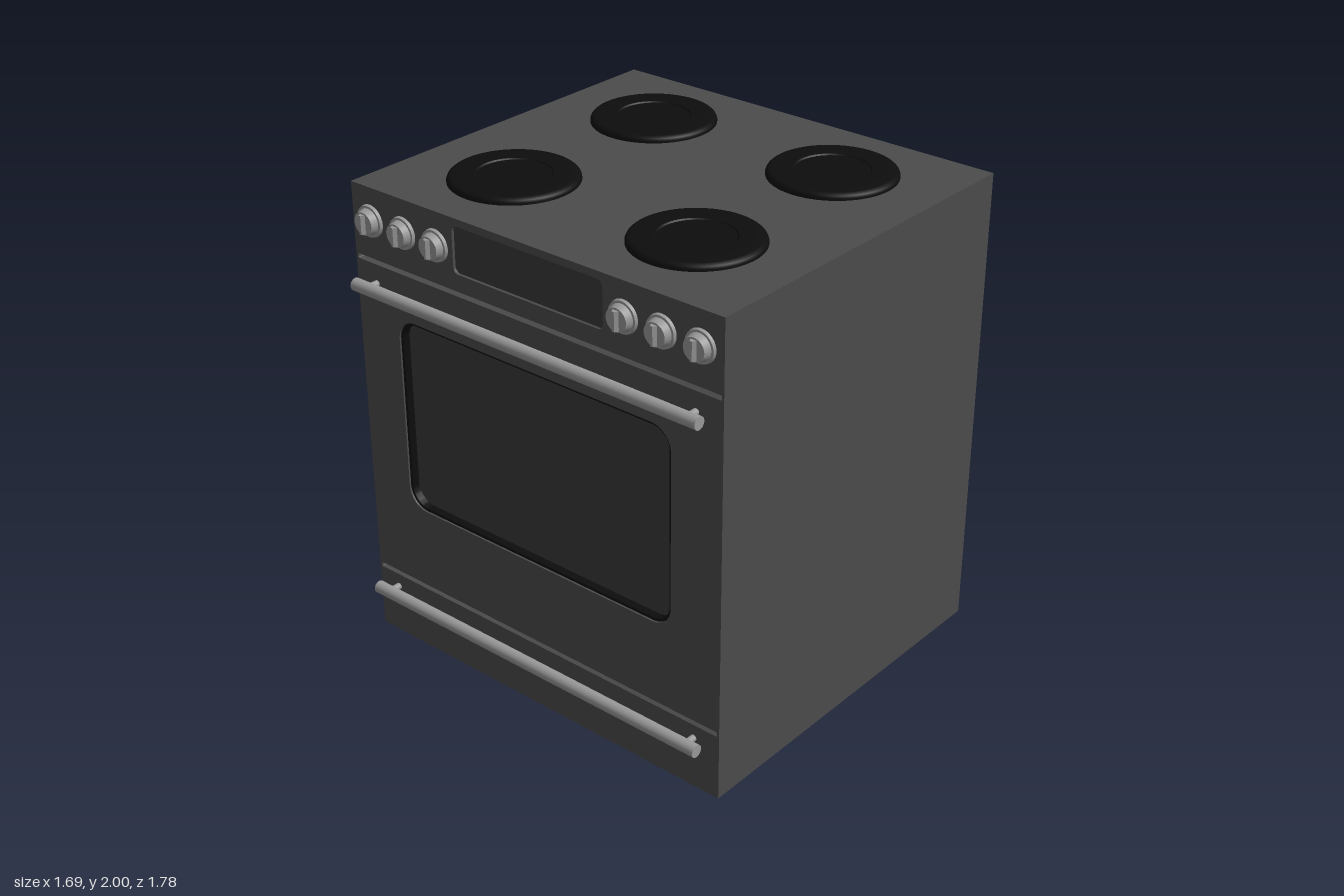
import * as THREE from 'three';
import { toCreasedNormals } from 'three/addons/utils/BufferGeometryUtils.js';

const mat = (color) => new THREE.MeshStandardMaterial({ color });
const enamel = mat(0x4b4b4b), glass = mat(0x3a3a3a), black = mat(0x0d0d0d), metal = mat(0x999999);

// Door side faces -x. Panel outlines are drawn with u = z and v = y.
const FACE = -0.765, BACK = 0.84, INNER = -0.72;

function part(parent, name, geometry, material, x = 0, y = 0, z = 0) {
  const mesh = new THREE.Mesh(geometry, material);
  mesh.name = name;
  mesh.position.set(x, y, z);
  parent.add(mesh);
  return mesh;
}

// Rounded rectangle traced into a Shape or Path
function roundRect(target, u0, v0, u1, v1, r) {
  target.moveTo(u0 + r, v0);
  target.lineTo(u1 - r, v0);
  target.absarc(u1 - r, v0 + r, r, -Math.PI / 2, 0);
  target.lineTo(u1, v1 - r);
  target.absarc(u1 - r, v1 - r, r, 0, Math.PI / 2);
  target.lineTo(u0 + r, v1);
  target.absarc(u0 + r, v1 - r, r, Math.PI / 2, Math.PI);
  target.lineTo(u0, v0 + r);
  target.absarc(u0 + r, v0 + r, r, Math.PI, Math.PI * 1.5);
  return target;
}

// Extrude an outline towards -x
function plate(shape, depth) {
  const g = new THREE.ExtrudeGeometry(shape, { depth, bevelEnabled: false, curveSegments: 8 });
  g.rotateY(-Math.PI / 2);
  return toCreasedNormals(g, 0.6);
}

// Cylinder lying along -x, with its base on x = 0
function disc(rBase, rTip, length, segments = 32) {
  const g = new THREE.CylinderGeometry(rTip, rBase, length, segments);
  g.translate(0, length / 2, 0);
  return g.rotateZ(Math.PI / 2);
}

function createKnob() {
  const knob = new THREE.Group();
  knob.name = 'knob';
  part(knob, 'knobBase', disc(0.065, 0.062, 0.012), metal);
  part(knob, 'knobBody', disc(0.053, 0.046, 0.028), metal, -0.012);
  // Grip: a ridge that narrows towards its outer edge
  const ridge = new THREE.Shape([
    new THREE.Vector2(-0.014, 0), new THREE.Vector2(0.014, 0),
    new THREE.Vector2(0.005, 0.016), new THREE.Vector2(-0.005, 0.016),
  ]);
  const grip = new THREE.ExtrudeGeometry(ridge, { depth: 0.076, bevelEnabled: false });
  grip.translate(0, 0, -0.038).rotateX(Math.PI / 2).rotateZ(Math.PI / 2);
  // Align the ridge so it points to -x and runs along y
  grip.computeBoundingBox();
  const g = new THREE.ExtrudeGeometry(ridge, { depth: 0.076, bevelEnabled: false });
  g.translate(0, 0, -0.038);
  g.applyMatrix4(new THREE.Matrix4().makeBasis(
    new THREE.Vector3(0, 0, 1), new THREE.Vector3(-1, 0, 0), new THREE.Vector3(0, -1, 0)));
  part(knob, 'knobGrip', g, metal, -0.039);
  return knob;
}

function createHandle() {
  const handle = new THREE.Group();
  handle.name = 'handle';
  const bar = new THREE.CylinderGeometry(0.026, 0.026, 1.68, 24).rotateX(Math.PI / 2);
  part(handle, 'handleBar', bar, metal, -0.055, 0, -0.01);
  for (const z of [-0.79, 0.77]) part(handle, 'handlePost', disc(0.014, 0.014, 0.05, 16), metal, 0, 0, z);
  return handle;
}

function createBurner() {
  const profile = [
    [0.253, 0], [0.253, 0.008], [0.249, 0.017], [0.242, 0.023], [0.232, 0.025],
    [0.148, 0.025], [0.143, 0.02], [0, 0.02],
  ].map(([r, y]) => new THREE.Vector2(r, y));
  return toCreasedNormals(new THREE.LatheGeometry(profile, 64), 0.6);
}

export function createModel() {
  const model = new THREE.Group();
  model.name = 'stove';

  // Cabinet
  part(model, 'cabinet', new THREE.BoxGeometry(BACK - INNER, 1.975, 1.785), enamel,
    (BACK + INNER) / 2, 0.9875, -0.0025);

  // Door side with openings for the window, display and two seams
  const front = new THREE.Shape([
    new THREE.Vector2(-0.895, 0), new THREE.Vector2(0.89, 0),
    new THREE.Vector2(0.89, 1.975), new THREE.Vector2(-0.895, 1.975),
  ]);
  const windowBox = [-0.685, 0.65, 0.66, 1.475];
  const displayBox = [-0.37, 1.755, 0.355, 1.945];
  front.holes.push(
    roundRect(new THREE.Path(), ...windowBox, 0.09),
    roundRect(new THREE.Path(), ...displayBox, 0.025),
    roundRect(new THREE.Path(), -0.885, 1.665, 0.88, 1.685, 0.005),
    roundRect(new THREE.Path(), -0.885, 0.278, 0.88, 0.298, 0.005));
  part(model, 'frontPanel', plate(front, INNER - FACE), enamel, INNER);

  // Window: black liner inside the opening and a recessed pane
  const [u0, v0, u1, v1] = windowBox;
  const liner = roundRect(new THREE.Shape(), u0, v0, u1, v1, 0.09);
  liner.holes.push(roundRect(new THREE.Path(), u0 + 0.012, v0 + 0.012, u1 - 0.012, v1 - 0.012, 0.078));
  part(model, 'windowLiner', plate(liner, 0.037), black, INNER);
  part(model, 'windowPane', plate(roundRect(new THREE.Shape(), u0, v0, u1, v1, 0.09), 0.005), glass, INNER);

  // Display
  part(model, 'display', plate(roundRect(new THREE.Shape(), ...displayBox, 0.025), 0.033), glass, INNER);

  // Knobs
  for (const z of [-0.8, -0.628, -0.458, 0.45, 0.62, 0.79]) {
    const knob = createKnob();
    knob.position.set(FACE, 1.84, z);
    model.add(knob);
  }

  // Door and drawer handles
  for (const y of [1.585, 0.22]) {
    const handle = createHandle();
    handle.position.set(FACE, y, 0);
    model.add(handle);
  }

  // Hot plates
  const burner = createBurner();
  for (const x of [-0.36, 0.44])
    for (const z of [-0.443, 0.437]) part(model, 'hotPlate', burner, black, x, 1.975, z);

  return model;
}
